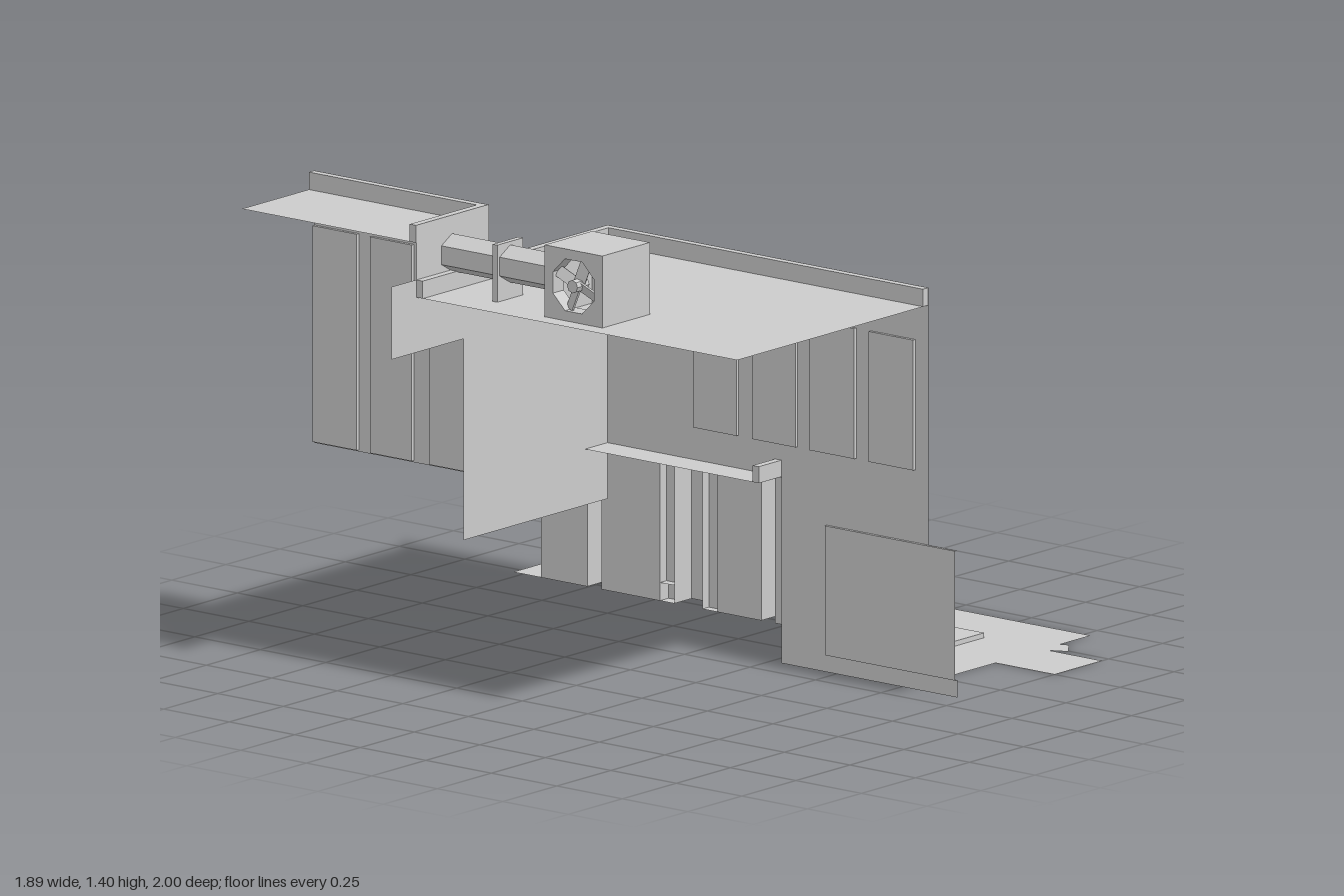
import * as THREE from 'three';

const grey = new THREE.MeshStandardMaterial({ color: 0xcccccc, side: THREE.DoubleSide, flatShading: true });
grey.name = 'plain grey';

export function createModel() {
  const model = new THREE.Group();
  const add = (name, geometry, x = 0, y = 0, z = 0) => {
    const mesh = new THREE.Mesh(geometry, grey);
    mesh.name = name;
    mesh.position.set(x, y, z);
    model.add(mesh);
    return mesh;
  };
  // Box given by its limits; skipped lists the faces left open (0..5 = +x -x +y -y +z -z)
  const box = (name, x0, x1, y0, y1, z0, z1, skipped = []) => {
    const g = new THREE.BoxGeometry(x1 - x0, y1 - y0, z1 - z0);
    const index = Array.from(g.index.array);
    g.setIndex(index.filter((v, i) => !skipped.includes(Math.floor(i / 6))));
    g.clearGroups();
    return add(name, g, (x0 + x1) / 2, (y0 + y1) / 2, (z0 + z1) / 2);
  };
  const shapeOf = (points) => new THREE.Shape(points.map(([a, b]) => new THREE.Vector2(a, b)));
  const rect = (a0, a1, b0, b1) => shapeOf([[a0, b0], [a1, b0], [a1, b1], [a0, b1]]);
  // Sheet facing +x, outlined in (-z, y)
  const sideSheet = (name, x, points, holes = []) => {
    const s = shapeOf(points);
    s.holes.push(...holes);
    return add(name, new THREE.ShapeGeometry(s).rotateY(Math.PI / 2), x);
  };
  // Sheet facing +z, outlined in (x, y)
  const frontSheet = (name, z, points) => add(name, new THREE.ShapeGeometry(shapeOf(points)), 0, 0, z);
  // Sheet facing up, outlined in (x, z)
  const floorSheet = (name, y, points) =>
    add(name, new THREE.ShapeGeometry(shapeOf(points.map(([x, z]) => [x, -z]))).rotateX(-Math.PI / 2), 0, y);

  // Ground: road and raised pavement with doorway notches
  const bays = [[0.283, 0], [-0.053, -0.278], [-0.385, -0.663], [-0.717, -1]];
  const inner = 0.42;
  floorSheet('road', 0, [[0.275, 0.775], [0.5, 0.775], [0.5, 1], [0.72, 1], [0.72, 0.8], [0.745, 0.85],
    [0.81, 0.8], [0.8, 0.775], [0.94, 0.775], [0.94, -1], [0.72, -1], [0.72, 0.55], [0.275, 0.55]]);
  const pavement = [[0.05, 0.33], [0.05, 0.775], [0.275, 0.775], [0.275, 0.55], [0.72, 0.55], [0.72, -1]];
  [...bays].reverse().forEach(([z0, z1]) => pavement.push([inner, z1], [inner, z0], [0.5, z0], [0.5, Math.min(z0 + 0.05, 0.33)]));
  floorSheet('pavement', 0.015, pavement);
  sideSheet('longKerb', 0.72, [[-0.55, 0], [1, 0], [1, 0.015], [-0.55, 0.015]]);
  frontSheet('frontKerb', 0.55, [[0.275, 0], [0.72, 0], [0.72, 0.015], [0.275, 0.015]]);
  sideSheet('shortKerb', 0.275, [[-0.775, 0], [-0.55, 0], [-0.55, 0.015], [-0.775, 0.015]]);

  // Shop block: side wall with open bays, recessed shop fronts, front wall
  const shopWall = [[-0.33, 0.015]];
  bays.forEach(([z0, z1]) => shopWall.push([-z0, 0.015], [-z0, 0.46], [-z1, 0.46], [-z1, z1 === -1 ? 0.46 : 0.015]));
  shopWall.pop();
  shopWall.push([1, 0.63], [-0.33, 0.63]);
  sideSheet('shopSideWall', 0.5, shopWall);
  frontSheet('shopFrontWall', 0.33, [[0.05, 0.015], [0.5, 0.015], [0.5, 0.63], [0.05, 0.63]]);
  const panes = [[0.225, 0], [-0.053, -0.22], [-0.44, -0.663], [-0.717, -0.893]];
  bays.forEach(([z0, z1], i) => {
    const [p0, p1] = panes[i];
    const last = i === 3;
    box('bayReveal', inner, 0.5, 0.015, 0.46, z1, z0, last ? [0, 1, 3, 5] : [0, 1, 3]);
    sideSheet('shopWindow', inner, [[-p0, 0.015], [-p1, 0.015], [-p1, 0.46], [-p0, 0.46]]);
    if (p0 < z0) box('bayJamb', inner, 0.45, i === 2 ? 0.07 : 0.015, 0.46, p0, z0, [1]);
    if (i === 2) box('baySill', inner, 0.46, 0.015, 0.07, p0, z0, [1]);
    if (i === 1) box('bayJamb', inner, 0.45, 0.015, 0.46, z1, p1, [1]);
  });
  floorSheet('shopRoof', 0.58, [[-0.055, 0.33], [0.5, 0.33], [0.5, -1], [-0.5, -1], [-0.5, -0.335], [-0.055, -0.335]]);
  box('shopSideParapet', 0.475, 0.499, 0.58, 0.63, -1, 0.329);
  box('shopFrontParapet', -0.055, 0.475, 0.58, 0.63, 0.305, 0.329);

  // Main building: side wall with four windows and a wide recessed panel
  const upperWindows = [[0.84, 0.67], [0.615, 0.445], [0.39, 0.225], [0.165, 0]];
  sideSheet('mainSideWall', 0.05, [[-1, 0.015], [-0.33, 0.015], [-0.33, 0.58], [0.335, 0.58], [0.335, 1.24],
    [-0.89, 1.24], [-0.89, 0.46], [-0.5, 0.46], [-0.5, 0.068], [-1, 0.068]],
  upperWindows.map(([z0, z1]) => rect(-z0, -z1, 0.68, 1.075)));
  upperWindows.forEach(([z0, z1]) => box('upperWindow', 0.04, 0.05, 0.68, 1.075, z1, z0, [0]));
  box('lowerPanel', 0.04, 0.05, 0.068, 0.46, 0.503, 1, [0, 4]);
  sideSheet('poster', 0.043, [[-0.775, 0.18], [-0.67, 0.182], [-0.675, 0.35], [-0.785, 0.34]]);
  frontSheet('mainBackWall', -0.335, [[-0.95, 1.02], [-0.615, 1.02], [-0.615, 0.41], [0.05, 0.41], [0.05, 1.24], [-0.95, 1.24]]);
  floorSheet('mainRoof', 1.187, [[-0.835, 0.89], [0.05, 0.89], [0.05, -0.335], [-0.835, -0.335]]);
  box('mainSideParapet', 0.025, 0.049, 1.187, 1.24, -0.334, 0.89);
  box('mainBackParapet', -0.835, 0.025, 1.187, 1.24, -0.334, -0.31);

  // Rear tower
  const towerWindows = [[-0.385, -0.555], [-0.62, -0.78], [-0.83, -0.999]];
  sideSheet('towerSideWall', -0.5, [[0.335, 0.58], [1, 0.58], [1, 1.405], [0.335, 1.405]],
    towerWindows.map(([z0, z1]) => rect(-z0, -z1, 0.585, 1.24)));
  towerWindows.forEach(([z0, z1]) => box('towerWindow', -0.51, -0.5, 0.585, 1.24, z1, z0, [0]));
  frontSheet('towerFrontWall', -0.334, [[-0.835, 1.187], [-0.5, 1.187], [-0.5, 1.405], [-0.835, 1.405]]);
  floorSheet('towerRoof', 1.352, [[-0.835, -0.335], [-0.5, -0.335], [-0.5, -1], [-0.835, -1]]);
  box('towerSideParapet', -0.525, -0.501, 1.352, 1.405, -1, -0.336);
  box('towerFrontParapet', -0.835, -0.525, 1.352, 1.405, -0.36, -0.336);

  // Roof ventilator: housing with an eight-sided fan opening, six-sided duct and bracket
  box('fanHousing', -0.78, -0.56, 1.187, 1.405, 0.11, 0.33, [1]);
  const ring = new THREE.Path();
  for (let i = 0; i <= 8; i++) {
    const a = (i + 0.5) * Math.PI / 4;
    ring[i ? 'lineTo' : 'moveTo'](-0.22 + 0.085 * Math.cos(a), 1.296 + 0.085 * Math.sin(a));
  }
  sideSheet('fanFace', -0.78, [[-0.33, 1.187], [-0.11, 1.187], [-0.11, 1.405], [-0.33, 1.405]], [ring]);
  const tube = add('fanTube', new THREE.CylinderGeometry(0.085, 0.085, 0.05, 8, 1, true, Math.PI / 8), -0.755, 1.296, 0.22);
  tube.rotation.z = Math.PI / 2;
  add('fanHub', new THREE.CylinderGeometry(0.02, 0.02, 0.055, 8).rotateZ(Math.PI / 2), -0.758, 1.296, 0.22);
  for (let i = 0; i < 4; i++) {
    const blade = add('fanBlade', new THREE.BoxGeometry(0.006, 0.075, 0.035).rotateY(0.4).translate(0, 0.045, 0), -0.757, 1.296, 0.22);
    blade.rotation.x = i * Math.PI / 2 + 0.4;
  }
  add('duct', new THREE.CylinderGeometry(0.057, 0.057, 0.445, 6, 1, true).rotateX(Math.PI / 2).rotateZ(Math.PI), -0.67, 1.293, -0.1125);
  box('ductBracket', -0.73, -0.61, 1.187, 1.36, -0.13, -0.112);

  // Two loose wheels standing on the road
  [[0.832, 0.013], [0.892, -0.217]].forEach(([x, z]) => {
    const wheel = add('wheel', new THREE.CylinderGeometry(0.068, 0.068, 0.032, 18).rotateZ(Math.PI / 2), x, 0.072, z);
    wheel.rotation.y = -0.24;
  });
  return model;
}
